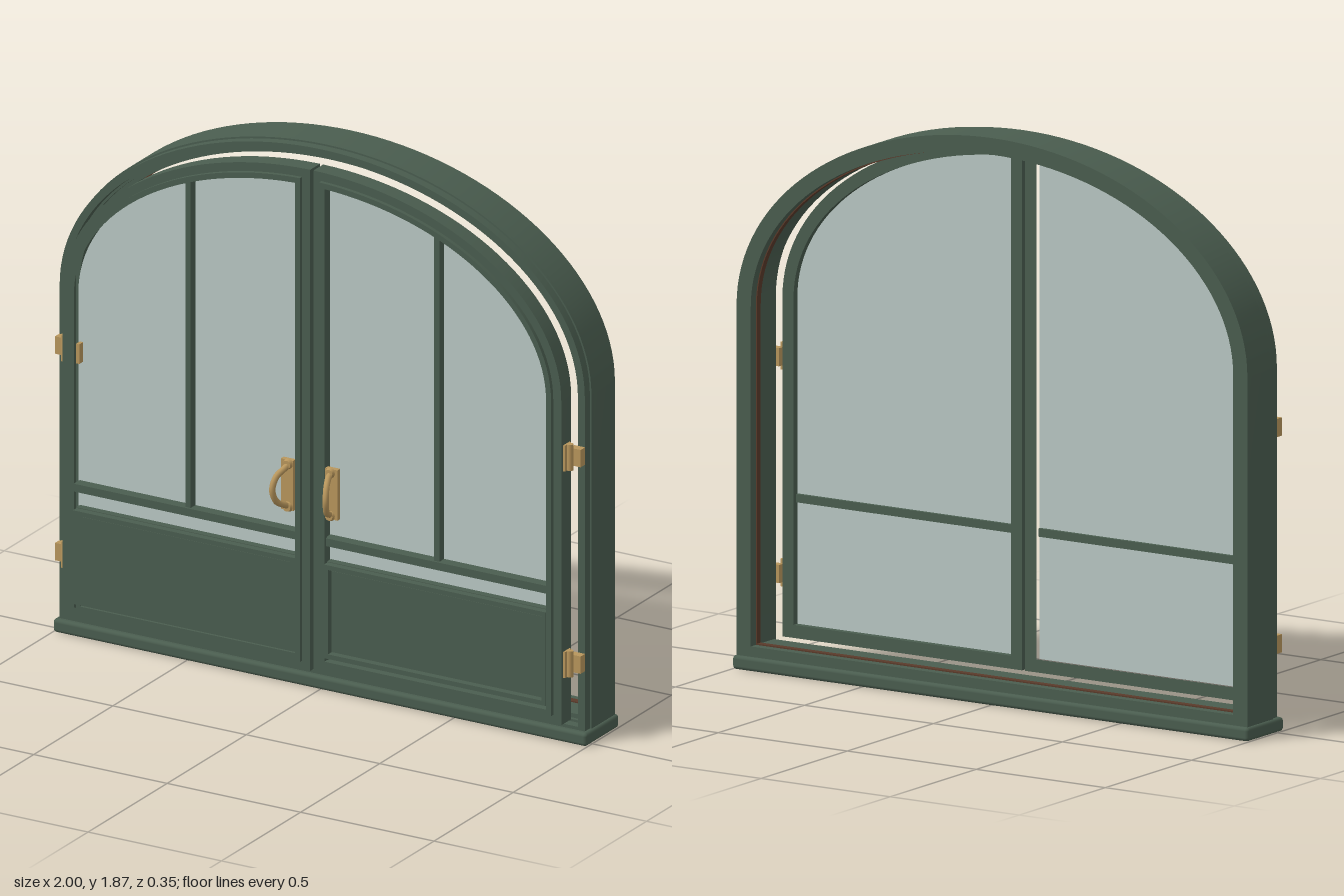
import * as THREE from 'three';
import { toCreasedNormals } from 'three/addons/utils/BufferGeometryUtils.js';
import { RoundedBoxGeometry } from 'three/addons/geometries/RoundedBoxGeometry.js';

const SPRING = 1.2; // height where the straight jambs turn into the arch
const DOOR = 0.935; // half width of the doorway

const material = (name, color) => {
  const m = new THREE.MeshStandardMaterial({ color });
  m.name = name;
  return m;
};

// Outline of half width w; everything is offset evenly from the doorway.
const bottomOf = (w) => 0.08 + DOOR - w;
const riseOf = (w) => w - 0.32;

function archPoints(w) {
  const pts = [new THREE.Vector2(-w, bottomOf(w)), new THREE.Vector2(w, bottomOf(w))];
  for (let i = 0; i <= 64; i++) {
    const a = (Math.PI * i) / 64;
    pts.push(new THREE.Vector2(w * Math.cos(a), SPRING + riseOf(w) * Math.sin(a)));
  }
  return pts;
}

// One half of the outline, ending at the meeting stile; s is the side.
function leafPoints(w, s) {
  const x0 = 0.006 + DOOR - w;
  const pts = [new THREE.Vector2(s * x0, bottomOf(w)), new THREE.Vector2(s * w, bottomOf(w))];
  const end = Math.acos(x0 / w);
  for (let i = 0; i <= 32; i++) {
    const a = (end * i) / 32;
    pts.push(new THREE.Vector2(s * w * Math.cos(a), SPRING + riseOf(w) * Math.sin(a)));
  }
  return pts;
}

function extrude(outer, inner, z0, z1) {
  const shape = new THREE.Shape(outer);
  if (inner) shape.holes.push(new THREE.Path(inner));
  const geo = new THREE.ExtrudeGeometry(shape, { depth: z1 - z0, bevelEnabled: false });
  geo.translate(0, 0, z0);
  return toCreasedNormals(geo, 0.5);
}

const rect = (x0, x1, y0, y1) => [[x0, y0], [x1, y0], [x1, y1], [x0, y1]].map(([x, y]) => new THREE.Vector2(x, y));

export function createModel() {
  const green = material('green paint', 0x4a5d4f);
  const glass = material('pale glass', 0xb9c8c4);
  const brass = material('brass', 0xb8965c);
  const brown = material('brown seal', 0x5a3a2a);

  const model = new THREE.Group();
  model.name = 'archedDoubleDoor';

  const add = (parent, name, geo, mat) => {
    const mesh = new THREE.Mesh(geo, mat);
    mesh.name = name;
    parent.add(mesh);
    return mesh;
  };
  const box = (parent, name, mat, x0, x1, y0, y1, z0, z1) => {
    const geo = new THREE.BoxGeometry(Math.abs(x1 - x0), y1 - y0, z1 - z0);
    geo.translate((x0 + x1) / 2, (y0 + y1) / 2, (z0 + z1) / 2);
    return add(parent, name, geo, mat);
  };

  // Fixed frame: stepped arch rings, seal and sill
  const frame = new THREE.Group();
  frame.name = 'frame';
  model.add(frame);
  [
    ['frameBody', 0.99, DOOR, -0.16, -0.025],
    ['frameStep', 0.99, 0.95, -0.025, -0.012],
    ['frameTrim', 0.984, 0.958, -0.012, 0.02],
  ].forEach(([name, w, hole, z0, z1]) => add(frame, name, extrude(archPoints(w), archPoints(hole), z0, z1), green));
  add(frame, 'weatherSeal', extrude(archPoints(0.94), archPoints(0.931), -0.13, -0.108), brown);
  const sill = add(frame, 'sill', new RoundedBoxGeometry(2, 0.046, 0.212, 3, 0.012), green);
  sill.position.set(0, 0.023, -0.067);

  for (const s of [1, -1]) {
    const door = new THREE.Group();
    door.name = s > 0 ? 'leftDoor' : 'rightDoor';
    model.add(door);

    // Stiles, rails and the raised moulding around the opening
    add(door, 'doorFrame', extrude(leafPoints(DOOR, s), leafPoints(0.892, s), 0.024, 0.086), green);
    add(door, 'doorMoulding', extrude(leafPoints(0.905, s), leafPoints(0.886, s), 0.084, 0.1), green);
    add(door, 'glassPane', extrude(leafPoints(0.895, s), null, 0.046, 0.052), glass);

    // Glazing bars
    box(door, 'crossBar', green, s * 0.05, s * 0.89, 0.526, 0.553, 0.034, 0.09);
    box(door, 'uprightBar', green, s * 0.456, s * 0.476, 0.55, 1.682, 0.05, 0.082);

    // Lower panel with its border
    const panel = (a, b) => rect(s * (0.052 + a), s * (0.888 - a), 0.14 + b, 0.468 - b);
    add(door, 'lowerPanel', extrude(panel(0, 0), null, 0.053, 0.078), green);
    add(door, 'panelBorder', extrude(panel(0.002, 0.002), panel(0.018, 0.018), 0.078, 0.102), green);
    add(door, 'panelField', extrude(panel(0.026, 0.026), null, 0.078, 0.086), green);

    // Hinges
    for (const y of [0.285, 1]) {
      const hinge = new THREE.Group();
      hinge.name = 'hinge';
      door.add(hinge);
      box(hinge, 'hingeLeaf', brass, s * 0.945, s * 0.985, y - 0.03, y + 0.03, 0.02, 0.048);
      box(hinge, 'hingeSidePlate', brass, s * 0.934, s * 0.942, y - 0.045, y + 0.045, 0.035, 0.074);
      box(hinge, 'hingeInnerPlate', brass, s * 0.876, s * 0.888, y - 0.034, y + 0.034, 0.054, 0.078);
      const pin = add(hinge, 'hingePin', new THREE.CylinderGeometry(0.011, 0.011, 0.09, 14), brass);
      pin.position.set(s * 0.948, y, 0.052);
    }

    // Bow handle leaning away from the meeting stile
    const handle = new THREE.Group();
    handle.name = 'handle';
    door.add(handle);
    box(handle, 'handlePlate', brass, s * 0.06, s * 0.106, 0.628, 0.802, 0.085, 0.103);
    const bow = [
      [0.079, 0.785, 0.1], [0.083, 0.776, 0.122], [0.094, 0.757, 0.152], [0.1, 0.715, 0.167],
      [0.094, 0.672, 0.152], [0.083, 0.652, 0.122], [0.079, 0.643, 0.1],
    ].map(([x, y, z]) => new THREE.Vector3(s * x, y, z));
    add(handle, 'handleGrip', new THREE.TubeGeometry(new THREE.CatmullRomCurve3(bow), 36, 0.0105, 10), brass);
    for (const y of [0.64, 0.788]) {
      const boss = add(handle, 'handleBoss', new THREE.CylinderGeometry(0.014, 0.018, 0.012, 16), brass);
      boss.rotation.x = Math.PI / 2;
      boss.position.set(s * 0.079, y, 0.107);
    }
  }
  return model;
}
